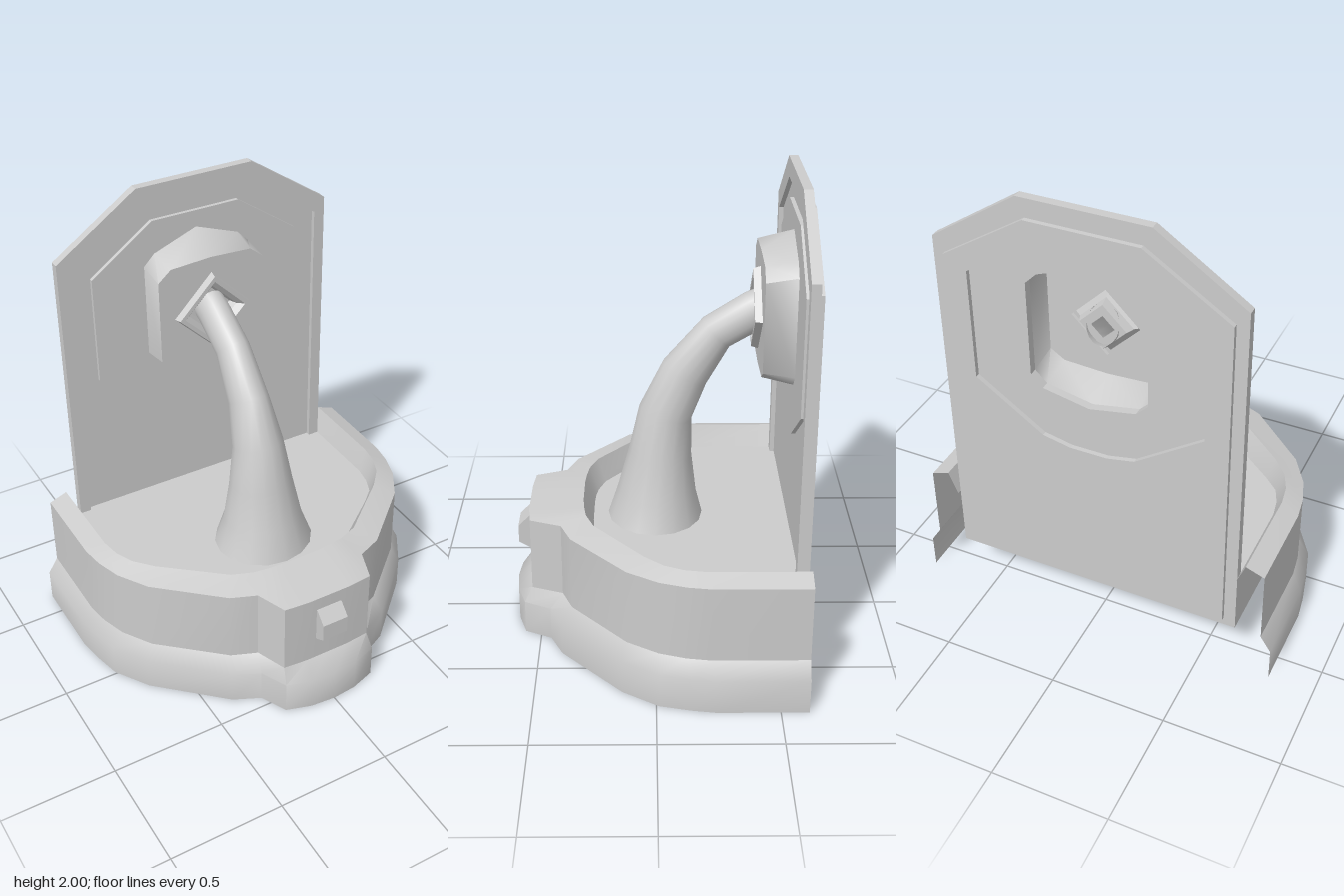
import * as THREE from 'three';
import { toCreasedNormals } from 'three/addons/utils/BufferGeometryUtils.js';

const stone = new THREE.MeshStandardMaterial({ color: 0xcccccc, side: THREE.DoubleSide });

function add(parent, name, geometry) {
  const mesh = new THREE.Mesh(geometry, stone);
  mesh.name = name;
  parent.add(mesh);
  return mesh;
}

// Skin between cross-sections; each ring is a list of [x, y, z]
function loft(rings, closed, crease = 0) {
  const n = rings[0].length;
  const index = [];
  for (let r = 0; r < rings.length - 1; r++) {
    for (let i = 0; i < (closed ? n : n - 1); i++) {
      const a = r * n + i, b = r * n + (i + 1) % n;
      index.push(a, b, b + n, a, b + n, a + n);
    }
  }
  const g = new THREE.BufferGeometry();
  g.setAttribute('position', new THREE.Float32BufferAttribute(rings.flat(2), 3));
  g.setIndex(index);
  g.computeVertexNormals();
  return crease ? toCreasedNormals(g, crease) : g;
}

// Mirror a half outline that ends on the centre line, giving left to right
const mirrored = half => [...half.map(([x, v]) => [-x, v]), ...half.slice(0, -1).reverse()];
const mirroredOpen = half => [...half.map(([x, v]) => [-x, v]), ...half.slice().reverse()];
const vec = pts => pts.map(([x, y]) => new THREE.Vector2(x, y));

// Flat slab with an optional hole, between two depths
function slab(outline, hole, zBack, zFront) {
  const s = new THREE.Shape(vec(outline));
  if (hole) s.holes.push(new THREE.Path(vec(hole)));
  const g = new THREE.ExtrudeGeometry(s, { depth: zFront - zBack, bevelEnabled: false });
  return g.translate(0, 0, zBack);
}

function buildBasin() {
  const basin = new THREE.Group();
  basin.name = 'basin';

  // Half outlines in plan, from the back to the front centre
  const foot = mirrored([[0.805, -0.615], [0.805, -0.24], [0.79, -0.14], [0.76, -0.01], [0.665, 0.14],
    [0.39, 0.40], [0.275, 0.455], [0.22, 0.57], [0.11, 0.605], [0, 0.615]]);
  const wall = mirrored([[0.76, -0.615], [0.76, -0.22], [0.745, -0.12], [0.71, -0.01], [0.63, 0.12],
    [0.37, 0.355], [0.26, 0.40], [0.21, 0.535], [0.10, 0.545], [0, 0.545]]);
  const rim = mirrored([[0.68, -0.615], [0.68, -0.20], [0.665, -0.11], [0.63, -0.03], [0.56, 0.05],
    [0.31, 0.26], [0.22, 0.295], [0.15, 0.305], [0.08, 0.31], [0, 0.31]]);
  const pool = mirrored([[0.64, -0.615], [0.64, -0.18], [0.625, -0.10], [0.595, -0.03], [0.53, 0.03],
    [0.28, 0.225], [0.20, 0.255], [0.14, 0.265], [0.08, 0.268], [0, 0.268]]);
  const at = (outline, y) => outline.map(([x, z]) => [x, y, z]);

  add(basin, 'basinFoot', loft([at(wall, 0.22), at(foot, 0.15), at(foot, 0)].reverse(), false, 0.9));
  add(basin, 'basinWall', loft([at(wall, 0.22), at(wall, 0.55)], false, 0.7));
  add(basin, 'basinRim', loft([at(wall, 0.55), at(rim, 0.58)], false, 0.7));
  add(basin, 'basinInnerLip', loft([at(rim, 0.58), at(pool, 0.48)], false, 0.7));

  // Solid pool bed
  const bedOutline = pool.map(([x, z]) => [x, -Math.max(z, -0.58)]);
  const bed = slab(bedOutline, null, 0.2, 0.48);
  bed.rotateX(-Math.PI / 2);
  add(basin, 'poolBed', bed);

  // Wedge-faced knob on the front
  const knob = new THREE.Shape(vec([[0.50, 0.33], [0.55, 0.33], [0.60, 0.36], [0.60, 0.44],
    [0.55, 0.49], [0.50, 0.49]]));
  const knobGeo = new THREE.ExtrudeGeometry(knob, { depth: 0.12, bevelEnabled: false });
  knobGeo.translate(0, 0, -0.06).rotateY(-Math.PI / 2);
  add(basin, 'frontKnob', knobGeo);
  return basin;
}

function buildBackPlate() {
  const plate = new THREE.Group();
  plate.name = 'backPlate';
  const outer = mirroredOpen([[0.64, 0.20], [0.64, 1.75], [0.27, 2.0]]);
  const inner = mirroredOpen([[0.59, 0.24], [0.59, 1.69], [0.235, 1.92]]);
  const octagon = mirroredOpen([[0.08, 0.925], [0.2, 0.95], [0.49, 1.15], [0.49, 1.64], [0.205, 1.84]]);
  const bossBack = mirrored([[0, 1.13], [0.20, 1.17], [0.25, 1.22], [0.25, 1.64], [0.20, 1.69], [0, 1.765]])
    .slice(0, -1);
  const bossFront = mirrored([[0, 1.19], [0.19, 1.20], [0.25, 1.24], [0.25, 1.62], [0.19, 1.67], [0, 1.68]])
    .slice(0, -1);

  // Frame, sunken panel and raised medallion
  add(plate, 'plateFrame', slab(outer, inner, -0.595, -0.557));
  add(plate, 'platePanel', slab(inner, octagon, -0.615, -0.577));
  add(plate, 'plateMedallion', slab(octagon, bossBack, -0.595, -0.56));

  // Hollow boss with a diamond opening in its face
  const ring = (pts, z) => pts.map(([x, y]) => [x, y, z]);
  add(plate, 'bossSide', loft([ring(bossFront, -0.43), ring(bossBack, -0.56)], true, 0.8));
  const face = new THREE.Shape(vec(bossFront));
  const c = 1.43, d = 0.15;
  face.holes.push(new THREE.Path(vec([[d, c], [0, c + d], [-d, c], [0, c - d]])));
  add(plate, 'bossFace', new THREE.ShapeGeometry(face).translate(0, 0, -0.43));

  // Stepped diamond collar around the spout
  const collar = new THREE.LatheGeometry(
    vec([[0.18, -0.43], [0.17, -0.40], [0.145, -0.40], [0.115, -0.425], [0.10, -0.46], [0.05, -0.46]]), 4);
  collar.rotateX(Math.PI / 2).translate(0, c, 0);
  add(plate, 'diamondCollar', toCreasedNormals(collar, 0.3));
  return plate;
}

// Curved arm rising from the pool to the boss: [y, z, half width, half depth]
function buildArm() {
  const sections = [[0.48, 0, 0.22, 0.205], [0.60, -0.008, 0.175, 0.17], [0.78, -0.022, 0.14, 0.135],
    [0.965, -0.045, 0.11, 0.115], [1.145, -0.125, 0.085, 0.105], [1.325, -0.255, 0.073, 0.083],
    [1.42, -0.41, 0.07, 0.085], [1.44, -0.46, 0.07, 0.085]];
  const sides = 16;
  const rings = sections.map(([y, z, w, d], k) => {
    const p = sections[Math.max(k - 1, 0)], q = sections[Math.min(k + 1, sections.length - 1)];
    const tilt = k === 0 ? 0 : Math.atan2(p[1] - q[1], q[0] - p[0]);
    return Array.from({ length: sides }, (_, i) => {
      const a = -i / sides * Math.PI * 2, s = d * Math.sin(a);
      return [w * Math.cos(a), y + s * Math.sin(tilt), z + s * Math.cos(tilt)];
    });
  });
  const geo = loft(rings, true);
  const arm = new THREE.Group();
  arm.name = 'arm';
  add(arm, 'curvedArm', geo);
  return arm;
}

export function createModel() {
  const model = new THREE.Group();
  model.name = 'wallFountain';
  model.add(buildBasin(), buildBackPlate(), buildArm());
  return model;
}
